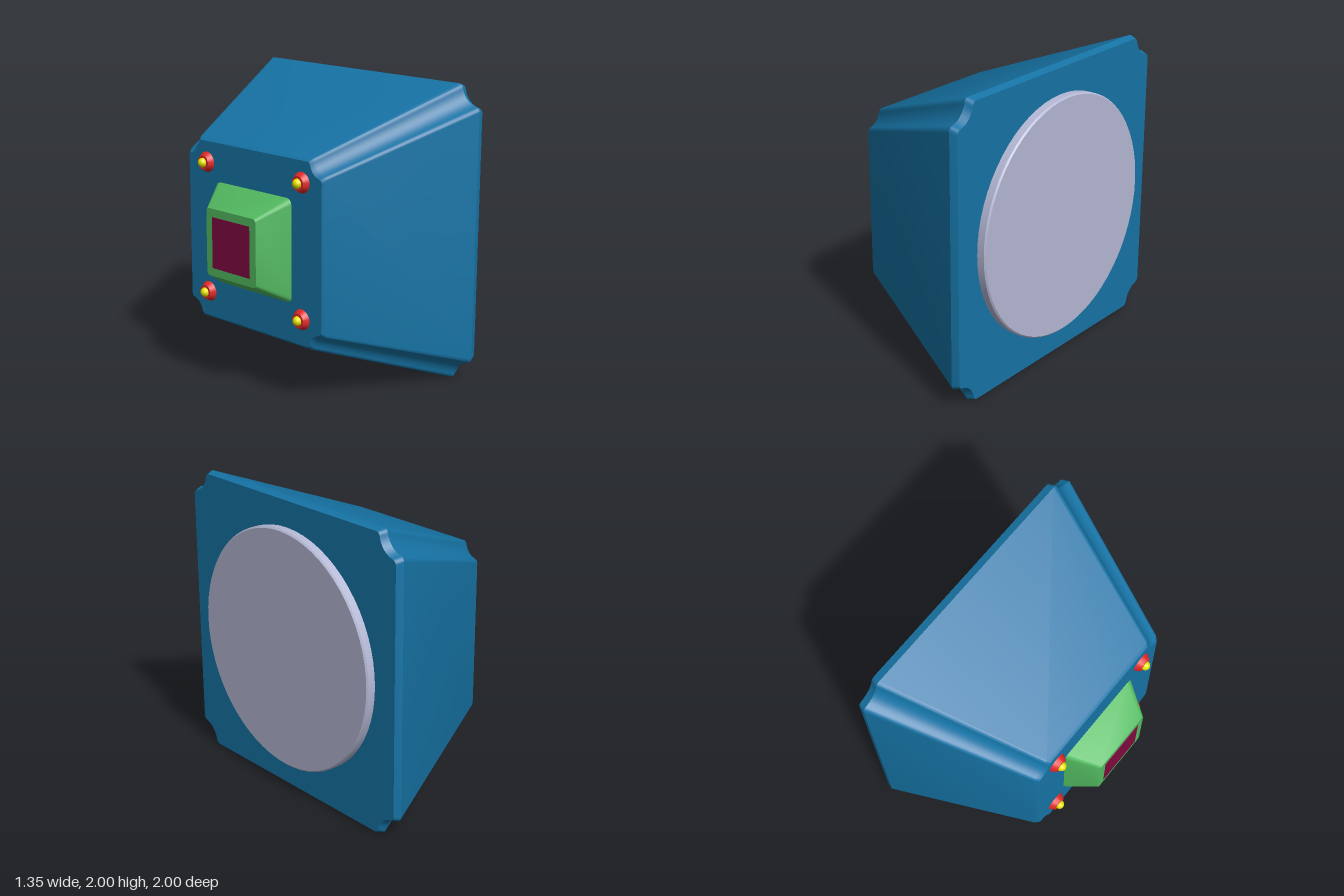
import * as THREE from 'three';
import { toCreasedNormals } from 'three/addons/utils/BufferGeometryUtils.js';

const COLORS = { blue: 0x1674a6, disc: 0xb4b8d4, green: 0x52ba60, red: 0xe02828, yellow: 0xe6e200, plum: 0x800840 };
const MID = 1; // height of the central axis

function addMesh(parent, name, geometry, color) {
  const mesh = new THREE.Mesh(geometry, new THREE.MeshStandardMaterial({ color }));
  mesh.name = name;
  parent.add(mesh);
  return mesh;
}

// Repeats the outline of one corner around all four quadrants, counterclockwise
function fourCorners(corner) {
  const points = [];
  for (let q = 0; q < 4; q++) {
    for (const p of corner) points.push(p.clone().rotateAround(new THREE.Vector2(), q * Math.PI / 2));
  }
  return points;
}

// Square with a scooped notch of radius r at each corner, softened where it meets the sides
function notchedSquare(h, r) {
  const f = r * 0.22;
  const onArc = (deg) => new THREE.Vector2(h + r * Math.cos(deg * Math.PI / 180), h + r * Math.sin(deg * Math.PI / 180));
  const first = new THREE.QuadraticBezierCurve(new THREE.Vector2(h, h - r - f), new THREE.Vector2(h, h - r), onArc(-105));
  const last = new THREE.QuadraticBezierCurve(onArc(-165), new THREE.Vector2(h - r, h), new THREE.Vector2(h - r - f, h));
  const corner = first.getPoints(5);
  for (let deg = -115; deg > -165; deg -= 10) corner.push(onArc(deg));
  corner.push(...last.getPoints(5));
  return fourCorners(corner);
}

function roundedSquare(h, r) {
  const corner = [];
  for (let i = 0; i <= 6; i++) {
    const a = i / 6 * Math.PI / 2;
    corner.push(new THREE.Vector2(h - r + r * Math.cos(a), h - r + r * Math.sin(a)));
  }
  return fourCorners(corner);
}

// Joins outlines placed along x (in ascending order) into a closed solid
function loft(sections) {
  const positions = [], index = [];
  const n = sections[0].outline.length;
  for (const { x, outline } of sections) {
    for (const p of outline) positions.push(x, MID + p.y, -p.x);
  }
  for (let i = 0; i < sections.length - 1; i++) {
    for (let j = 0; j < n; j++) {
      const a = i * n + j, b = i * n + (j + 1) % n;
      index.push(a, b, b + n, a, b + n, a + n);
    }
  }
  const lastRing = (sections.length - 1) * n;
  const startCentre = positions.length / 3;
  positions.push(sections[0].x, MID, 0, sections[sections.length - 1].x, MID, 0);
  for (let j = 0; j < n; j++) {
    const k = (j + 1) % n;
    index.push(startCentre, k, j, startCentre + 1, lastRing + j, lastRing + k);
  }
  const geometry = new THREE.BufferGeometry();
  geometry.setAttribute('position', new THREE.Float32BufferAttribute(positions, 3));
  geometry.setIndex(index);
  return toCreasedNormals(geometry, 0.5);
}

// Lathe from [radius, distance] pairs, with its axis turned onto x
function turned(profile, segments) {
  const geometry = new THREE.LatheGeometry(profile.map(([r, d]) => new THREE.Vector2(r, d)), segments);
  geometry.rotateZ(-Math.PI / 2);
  return toCreasedNormals(geometry, 0.5);
}

export function createModel() {
  const model = new THREE.Group();
  model.name = 'lampHousing';

  // Tapered housing with a bevelled back edge and a front lip
  const housing = [[-0.475, 0.6, 0.1], [-0.45, 0.622, 0.103], [0.56, 1, 0.14], [0.61, 0.985, 0.14]];
  addMesh(model, 'housing', loft(housing.map(([x, h, r]) => ({ x, outline: notchedSquare(h, r) }))), COLORS.blue);

  // Round front disc with a small chamfer
  const disc = turned([[0, 0], [0.812, 0], [0.812, 0.053], [0.802, 0.063], [0, 0.063]], 64);
  addMesh(model, 'frontDisc', disc, COLORS.disc).position.set(0.608, MID, 0);

  // Raised rear block and its inset panel
  const block = [[-0.675, 0.225, 0.025], [-0.47, 0.345, 0.04]];
  addMesh(model, 'rearBlock', loft(block.map(([x, h, r]) => ({ x, outline: roundedSquare(h, r) }))), COLORS.green);
  addMesh(model, 'rearPanel', new THREE.BoxGeometry(0.01, 0.34, 0.34), COLORS.plum).position.set(-0.673, MID, 0);

  // Four rear knobs: a tapered base with a ball tip
  const base = turned([[0, -0.038], [0.048, -0.038], [0.07, 0], [0, 0]], 32);
  const tip = new THREE.SphereGeometry(0.032, 24, 16);
  for (const sy of [-1, 1]) {
    for (const sz of [-1, 1]) {
      const knob = new THREE.Group();
      knob.name = 'rearKnob';
      addMesh(knob, 'knobBase', base, COLORS.red);
      addMesh(knob, 'knobTip', tip, COLORS.yellow).position.x = -0.04;
      knob.position.set(-0.473, 1.015 + sy * 0.445, sz * 0.43);
      model.add(knob);
    }
  }
  return model;
}
